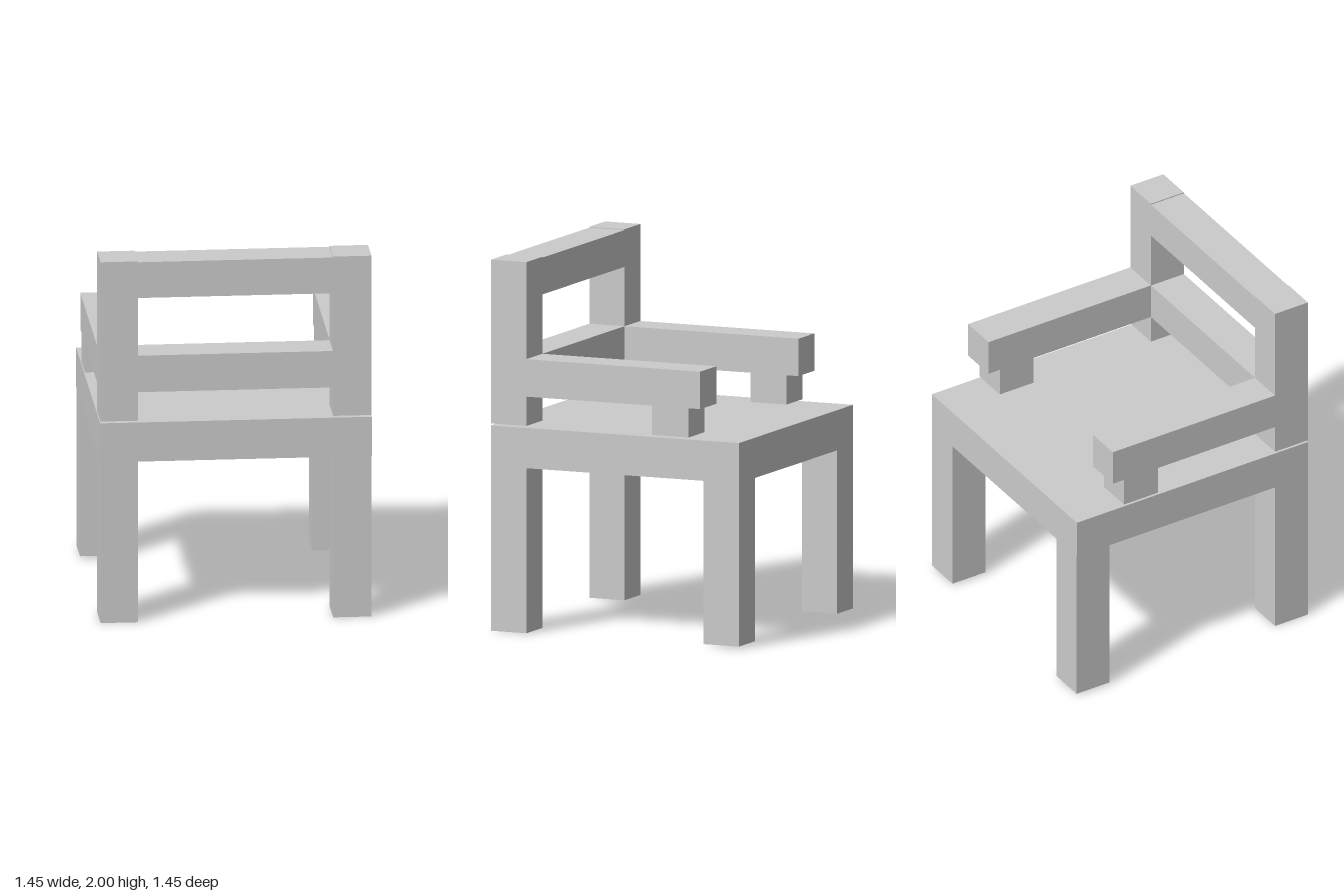
import * as THREE from 'three';

export function createModel() {
  const group = new THREE.Group();
  const material = new THREE.MeshStandardMaterial({ color: 0xcccccc, flatShading: true });

  // Box given by its extents on each axis
  function beam(name, [x0, x1], [y0, y1], [z0, z1]) {
    const mesh = new THREE.Mesh(new THREE.BoxGeometry(x1 - x0, y1 - y0, z1 - z0), material);
    mesh.position.set((x0 + x1) / 2, (y0 + y1) / 2, (z0 + z1) / 2);
    mesh.name = name;
    group.add(mesh);
  }

  const back = [0.52, 0.727]; // depth of the backrest
  const railSpan = [-0.525, 0.517];

  // Seat slab
  beam('seat', [-0.727, 0.725], [0.89, 1.107], [-0.727, 0.727]);

  // Legs, back posts and arms on each side
  const sides = [['right', [-0.725, -0.525]], ['left', [0.518, 0.723]]];
  for (const [side, x] of sides) {
    beam(side + 'BackLeg', x, [0, 0.89], back);
    beam(side + 'FrontLeg', x, [0.01, 0.89], [-0.727, -0.52]);
    beam(side + 'BackPost', x, [1.117, 2], back);
    beam(side + 'Armrest', x, [1.275, 1.477], [-0.5, 0.52]);
    beam(side + 'ArmSupport', x, [1.117, 1.275], [-0.43, -0.217]);
  }

  // Backrest rails
  beam('topRail', railSpan, [1.797, 1.995], back);
  beam('lowerRail', railSpan, [1.275, 1.477], back);

  return group;
}
